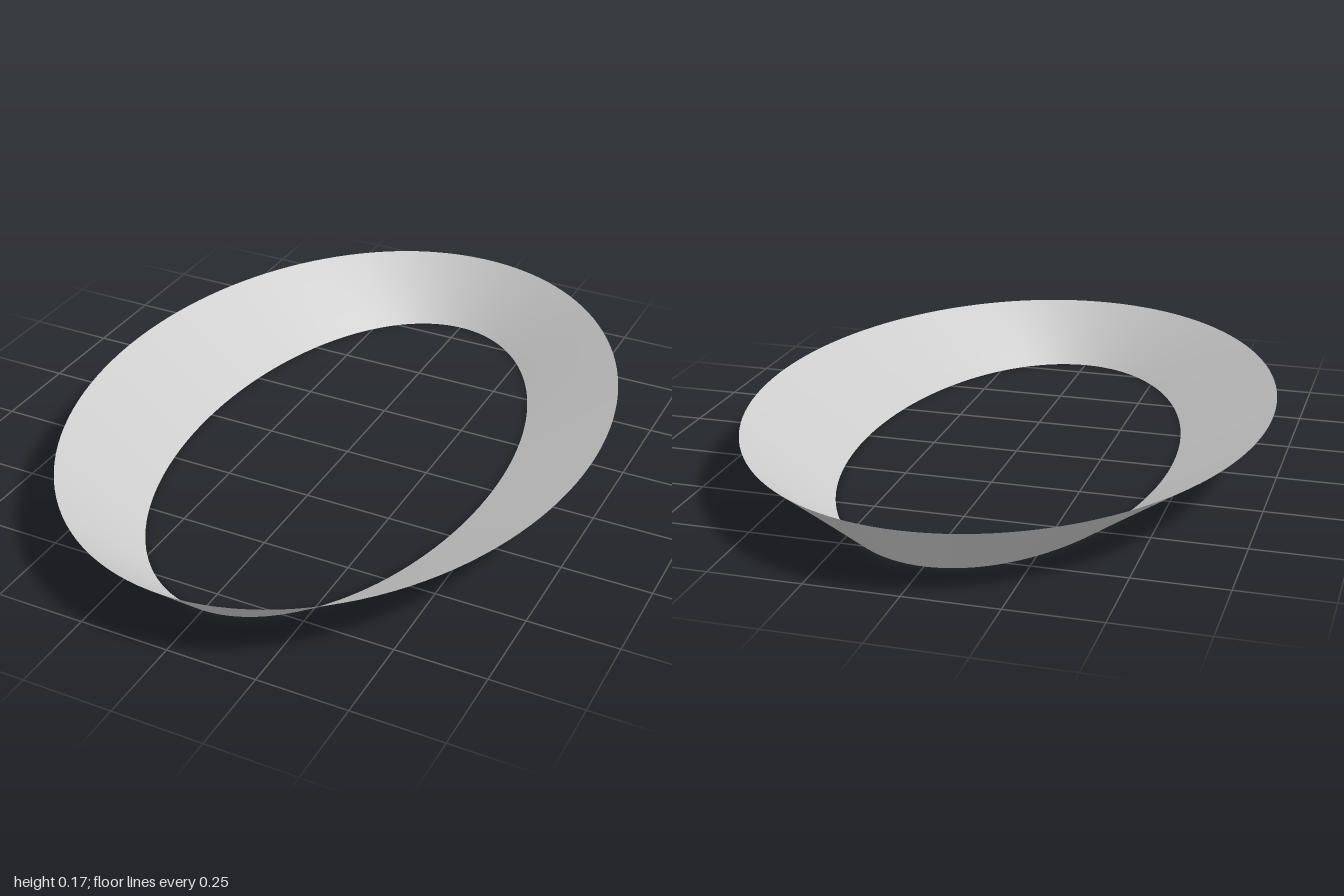
import * as THREE from 'three';
import { ParametricGeometry } from 'three/addons/geometries/ParametricGeometry.js';

// Half-widths of the lower and upper oval rims, and the height between them
const LOWER = { x: 0.453, z: 0.825 };
const UPPER = { x: 0.73, z: 1.0 };
const HEIGHT = 0.17;

// Sloping wall: u runs around the oval, v from the lower to the upper rim
function wallPoint(u, v, target) {
  const a = u * Math.PI * 2;
  target.set(
    THREE.MathUtils.lerp(LOWER.x, UPPER.x, v) * Math.cos(a),
    HEIGHT * v,
    -THREE.MathUtils.lerp(LOWER.z, UPPER.z, v) * Math.sin(a)
  );
}

export function createModel() {
  const group = new THREE.Group();
  group.name = 'ovalRing';

  // Thin flared wall, open at the top and bottom
  const material = new THREE.MeshStandardMaterial({ color: 0xcccccc, side: THREE.DoubleSide });
  const wall = new THREE.Mesh(new ParametricGeometry(wallPoint, 128, 4), material);
  wall.name = 'flaredWall';
  group.add(wall);

  return group;
}
